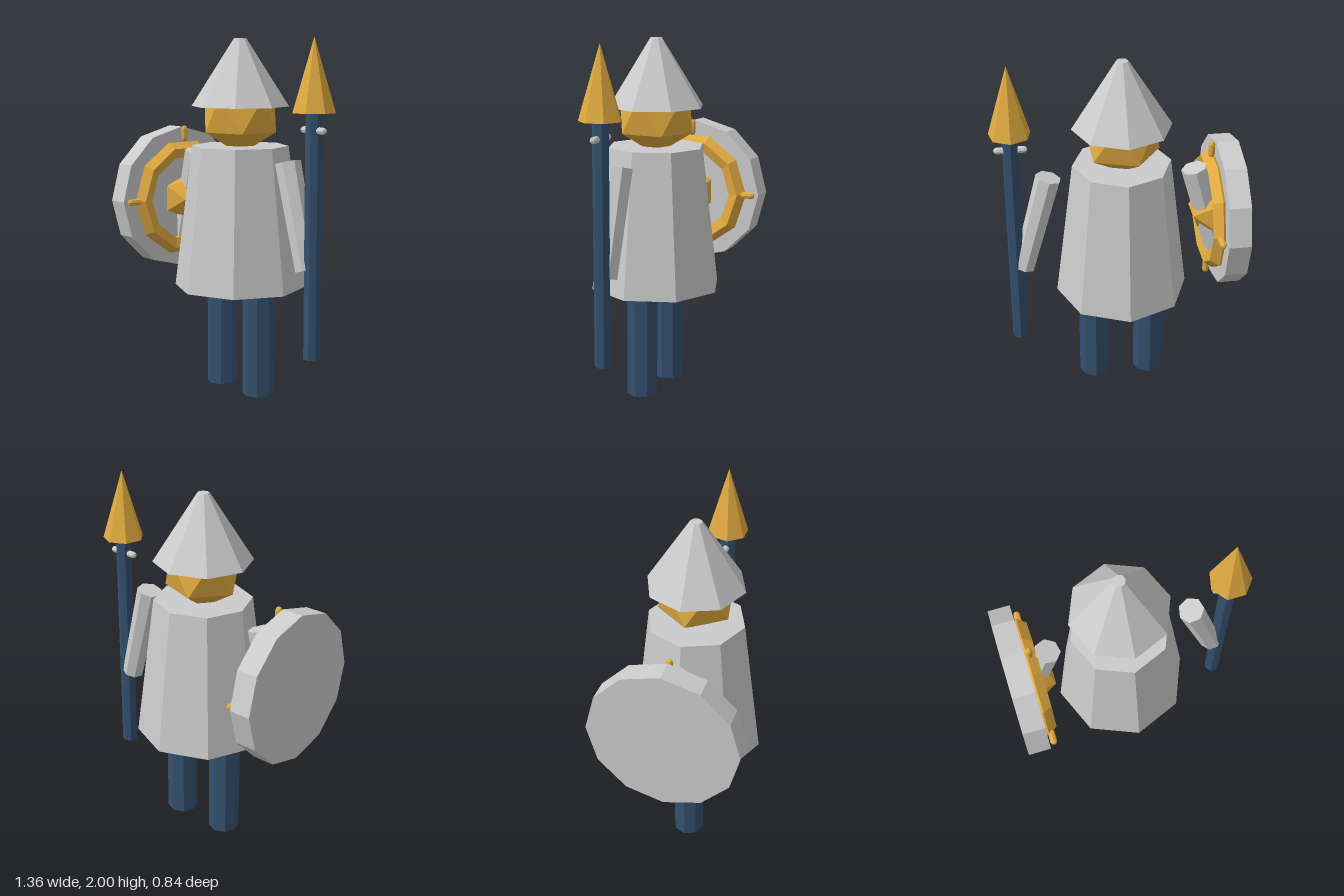
import * as THREE from 'three';

const paint = (color) => new THREE.MeshStandardMaterial({ color, flatShading: true });

export function createModel() {
  const model = new THREE.Group();
  const grey = paint(0xcccccc), gold = paint(0xe0aa40), navy = paint(0x34506f);
  const CX = -0.033, CZ = -0.018; // body axis

  function add(name, geometry, material, x, y, z) {
    const mesh = new THREE.Mesh(geometry, material);
    mesh.name = name;
    mesh.position.set(x, y, z);
    model.add(mesh);
    return mesh;
  }
  const prism = (rTop, rBottom, h, sides) => new THREE.CylinderGeometry(rTop, rBottom, h, sides);

  // Robe, head and helmet
  add('robe', prism(0.272, 0.373, 0.8, 8), grey, CX, 1.0, CZ);
  const head = new THREE.IcosahedronGeometry(0.23, 0);
  head.rotateZ(-Math.atan(2 / (1 + Math.sqrt(5))));
  add('head', head, gold, CX, 1.58, CZ);
  add('helmet', prism(0.033, 0.273, 0.375, 8), grey, CX, 1.807, CZ);

  // Legs and arms, mirrored about the body axis
  for (const side of [-1, 1]) {
    const label = side > 0 ? 'left' : 'right';
    add(label + 'Leg', prism(0.088, 0.088, 0.61, 8), navy, CX + side * 0.161, 0.305, CZ);
    const arm = prism(0.072, 0.062, 0.585, 7).rotateY(Math.PI);
    add(label + 'Arm', arm, grey, CX + side * 0.477, 1.056, CZ).rotation.z = side * 0.264;
  }

  // Spear with a pin on each side below the head
  const sx = 0.564;
  add('spearShaft', prism(0.0445, 0.0445, 1.31, 7).rotateY(Math.PI), navy, sx, 0.955, CZ);
  add('spearHead', prism(0, 0.115, 0.39, 7).rotateY(Math.PI), gold, sx, 1.805, CZ);
  for (const side of [-1, 1]) {
    const pin = new THREE.CapsuleGeometry(0.019, 0.034, 2, 8).rotateZ(Math.PI / 2);
    add('spearPin', pin, grey, sx + side * 0.055, 1.52, CZ);
  }

  // Round shield facing the body
  const sy = 1.057;
  add('shieldDisc', prism(0.42, 0.42, 0.124, 12).rotateZ(Math.PI / 2), grey, -0.619, sy, 0);
  const ring = new THREE.TorusGeometry(0.293, 0.053, 5, 10).rotateY(Math.PI / 2);
  add('shieldRing', ring, gold, -0.545, sy, 0);
  add('shieldBoss', new THREE.IcosahedronGeometry(0.138, 0), gold, -0.547, sy, 0);

  // Pegs around the shield rim
  for (let i = 0; i < 4; i++) {
    const a = (i * Math.PI) / 2;
    const r = i % 2 ? 0.358 : 0.38;
    const peg = new THREE.CapsuleGeometry(0.019, 0.058, 2, 8).rotateX(a);
    add('shieldPeg', peg, gold, -0.532, sy + r * Math.cos(a), r * Math.sin(a));
  }
  return model;
}
